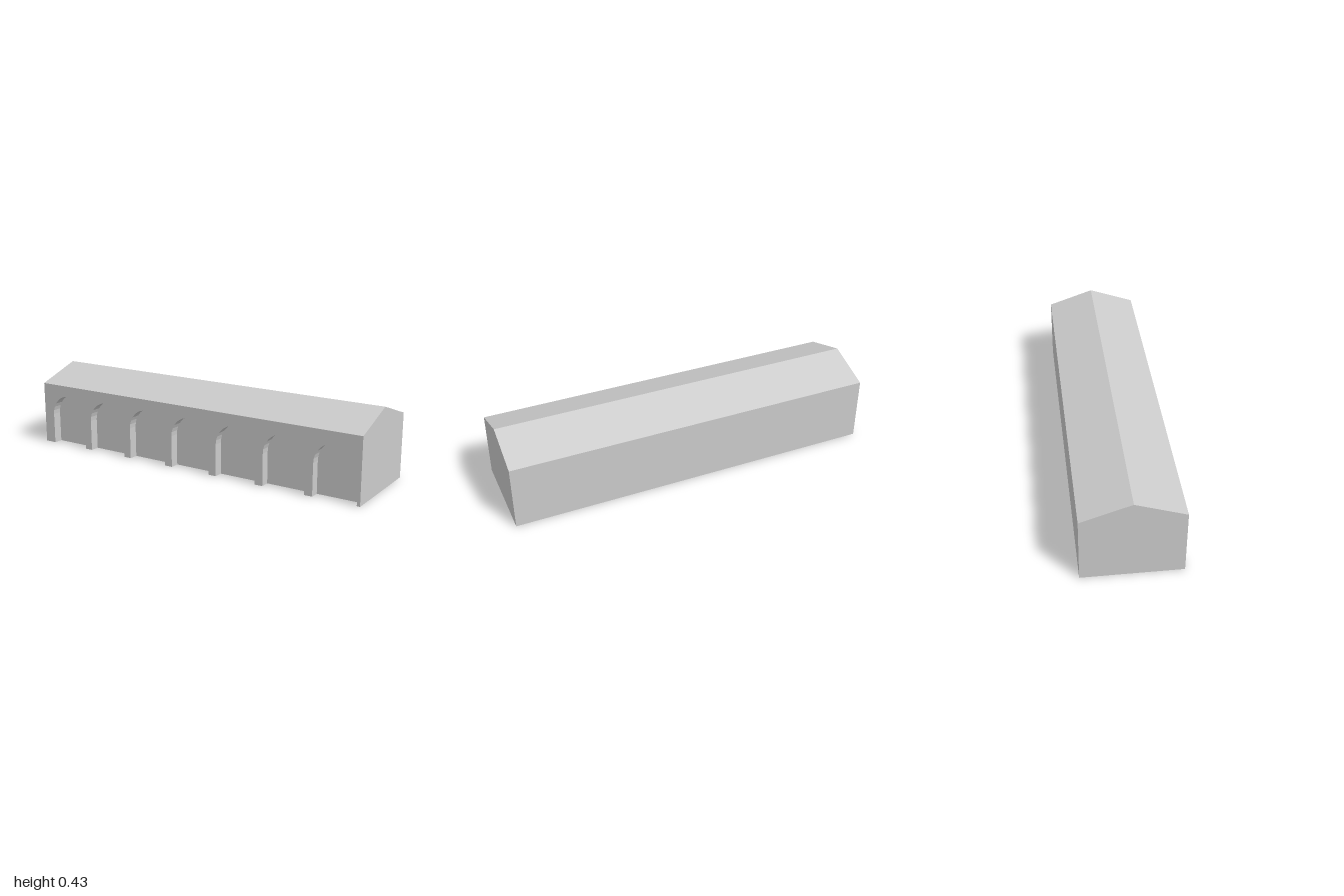
import * as THREE from 'three';

const LENGTH = 1.977, HALF_W = 0.25, EAVE = 0.345, RIDGE = 0.43;
const DEPTH = 0.05;                                  // depth of the arched niches
const ARCHES = 7, PITCH = 0.277, RADIUS = 0.1165, SPRING = 0.17, FIRST = 0.065;

export function createModel() {
  const model = new THREE.Group();
  model.name = 'arcadeHall';
  const material = new THREE.MeshStandardMaterial({ color: 0xcccccc, flatShading: true });

  const add = (name, geometry) => {
    const mesh = new THREE.Mesh(geometry, material);
    mesh.name = name;
    model.add(mesh);
  };

  // Hall with gabled roof; the roof reaches out over the arcade
  const inner = -HALF_W + DEPTH;
  const section = new THREE.Shape([
    [inner, 0], [HALF_W, 0], [HALF_W, EAVE], [0, RIDGE], [-HALF_W, EAVE], [inner, EAVE],
  ].map(([x, y]) => new THREE.Vector2(x, y)));
  const hall = new THREE.ExtrudeGeometry(section, { depth: LENGTH, bevelEnabled: false });
  hall.translate(0, 0, -LENGTH / 2);
  add('hallAndRoof', hall);

  // Arcade wall: outline runs along the base and up around each arch
  const start = -LENGTH / 2;
  const wall = new THREE.Shape();
  wall.moveTo(start, 0);
  for (let i = 0; i < ARCHES; i++) {
    const a = start + FIRST + i * PITCH;
    wall.lineTo(a, 0);
    wall.lineTo(a, SPRING);
    wall.absarc(a + RADIUS, SPRING, RADIUS, Math.PI, 0, true);
    wall.lineTo(a + 2 * RADIUS, 0);
  }
  wall.lineTo(-start, 0);
  wall.lineTo(-start, EAVE);
  wall.lineTo(start, EAVE);
  const arcade = new THREE.ExtrudeGeometry(wall, { depth: DEPTH, bevelEnabled: false, curveSegments: 8 });
  arcade.rotateY(-Math.PI / 2);
  arcade.translate(inner, 0, 0);
  add('arcadeWall', arcade);

  // The building stands slightly turned
  model.rotation.y = 0.0506;
  return model;
}
